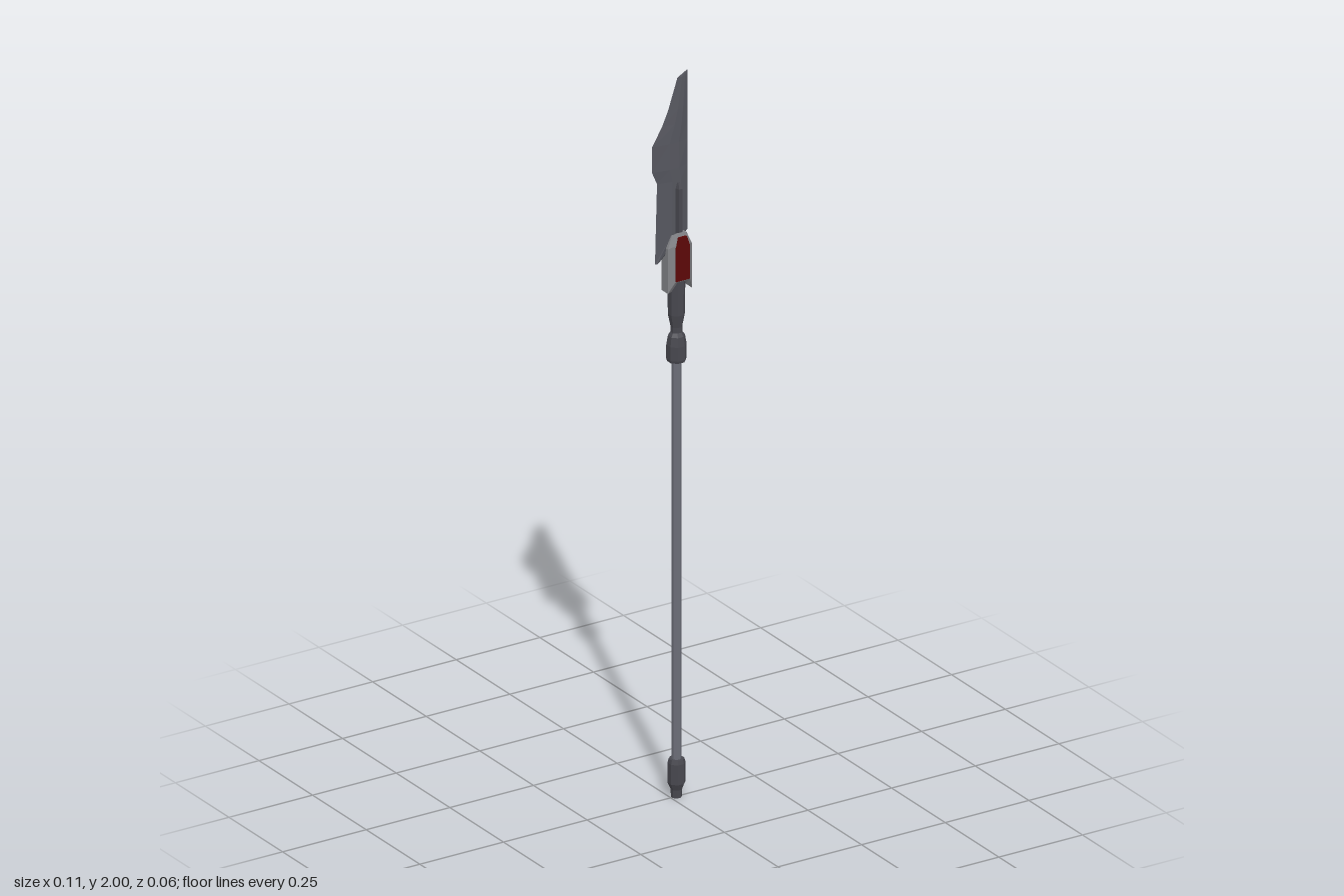
import * as THREE from 'three';

const CX = 0.017; // the pole's axis sits slightly left of centre

const mat = (name, color) => {
  const m = new THREE.MeshStandardMaterial({ color, flatShading: true });
  m.name = name;
  return m;
};

// Skin a stack of equal-length rings (bottom to top, counter-clockwise from above).
function loft(rings) {
  const pos = [];
  const tri = (...pts) => pts.forEach((p) => pos.push(...p));
  const n = rings[0].length;
  for (let r = 0; r < rings.length - 1; r++) {
    const lo = rings[r], hi = rings[r + 1];
    for (let i = 0; i < n; i++) {
      const j = (i + 1) % n;
      tri(lo[i], lo[j], hi[j]);
      tri(lo[i], hi[j], hi[i]);
    }
  }
  const bottom = rings[0], top = rings[rings.length - 1];
  for (let i = 1; i < n - 1; i++) {
    tri(bottom[0], bottom[i + 1], bottom[i]);
    tri(top[0], top[i], top[i + 1]);
  }
  const g = new THREE.BufferGeometry();
  g.setAttribute('position', new THREE.Float32BufferAttribute(pos, 3));
  g.computeVertexNormals();
  return g;
}

export function createModel() {
  const model = new THREE.Group();
  const steel = mat('blade steel', 0x55565e);
  const pole = mat('pole grey', 0x6c6e78);
  const dark = mat('dark metal', 0x48484f);
  const silver = mat('light metal', 0x85868a);
  const red = mat('deep red', 0x5c0808);

  const add = (name, geometry, material) => {
    const mesh = new THREE.Mesh(geometry, material);
    mesh.name = name;
    model.add(mesh);
    return mesh;
  };

  // Turned eight-sided parts: [radius, y] profiles
  const turned = (name, profile, material) => {
    const g = new THREE.LatheGeometry(profile.map(([r, y]) => new THREE.Vector2(r, y)), 8, Math.PI / 8);
    add(name, g, material).position.x = CX;
  };
  turned('shaft', [[0.0125, 0.08], [0.0125, 1.23]], pole);
  turned('buttCap', [[0, 0], [0.014, 0], [0.015, 0.022], [0.023, 0.04],
    [0.023, 0.095], [0.02, 0.106], [0, 0.106]], dark);
  turned('collar', [[0, 1.205], [0.024, 1.205], [0.026, 1.212], [0.026, 1.25],
    [0.022, 1.275], [0.015, 1.285], [0.015, 1.3], [0.022, 1.335], [0.023, 1.45], [0, 1.45]], dark);

  // Blade: rows of [y, cutting edge x, spine x, half thickness]
  const rows = [
    [1.485, -0.047, -0.037, 0.002], [1.56, -0.045, 0.05, 0.009],
    [1.705, -0.041, 0.05, 0.009], [1.74, -0.056, 0.05, 0.009],
    [1.81, -0.056, 0.05, 0.007], [1.86, -0.026, 0.05, 0.006],
    [1.9, -0.008, 0.05, 0.005], [1.985, 0.02, 0.05, 0.002], [2.0, 0.047, 0.05, 0.001],
  ];
  add('blade', loft(rows.map(([y, l, r, t]) => {
    const a = l + (r - l) * 0.45, b = l + (r - l) * 0.72;
    return [[r, y, 0], [b, y, -t], [a, y, -t], [l, y, 0], [a, y, t], [b, y, t]];
  })), steel);

  // Rib running up both faces of the blade
  const diamond = (y, w, d) => [[CX + w, y, 0], [CX + w * 0.5, y, -d], [CX - w * 0.5, y, -d],
    [CX - w, y, 0], [CX - w * 0.5, y, d], [CX + w * 0.5, y, d]];
  add('bladeRib', loft([diamond(1.52, 0.011, 0.02), diamond(1.685, 0.01, 0.02),
    diamond(1.7, 0.005, 0.014)]), dark);

  // Guard: chamfered block whose sides hang lower than its faces
  const octagon = (sideY, faceY, hx, fx, hz, fz) =>
    [[hx, -fz], [fx, -hz], [-fx, -hz], [-hx, -fz], [-hx, fz], [-fx, hz], [fx, hz], [hx, fz]]
      .map(([x, z]) => [CX + 0.001 + x, Math.abs(x) === hx ? sideY : faceY, z]);
  add('guard', loft([
    octagon(1.402, 1.435, 0.036, 0.022, 0.028, 0.015),
    octagon(1.525, 1.535, 0.036, 0.022, 0.028, 0.015),
    octagon(1.558, 1.566, 0.022, 0.013, 0.022, 0.012),
  ]), silver);

  // Red inlays on the front and back of the guard
  const inlay = new THREE.Shape([[-0.021, 1.436], [0.021, 1.436], [0.021, 1.53],
    [0.012, 1.556], [-0.012, 1.556], [-0.021, 1.53]].map(([x, y]) => new THREE.Vector2(x, y)));
  for (const s of [1, -1]) {
    const g = new THREE.ExtrudeGeometry(inlay, { depth: 0.007, bevelEnabled: false });
    const plate = add(s > 0 ? 'frontInlay' : 'backInlay', g, red);
    plate.position.set(CX + 0.001, 0, s * 0.0222);
    if (s < 0) plate.rotation.y = Math.PI;
  }

  return model;
}
